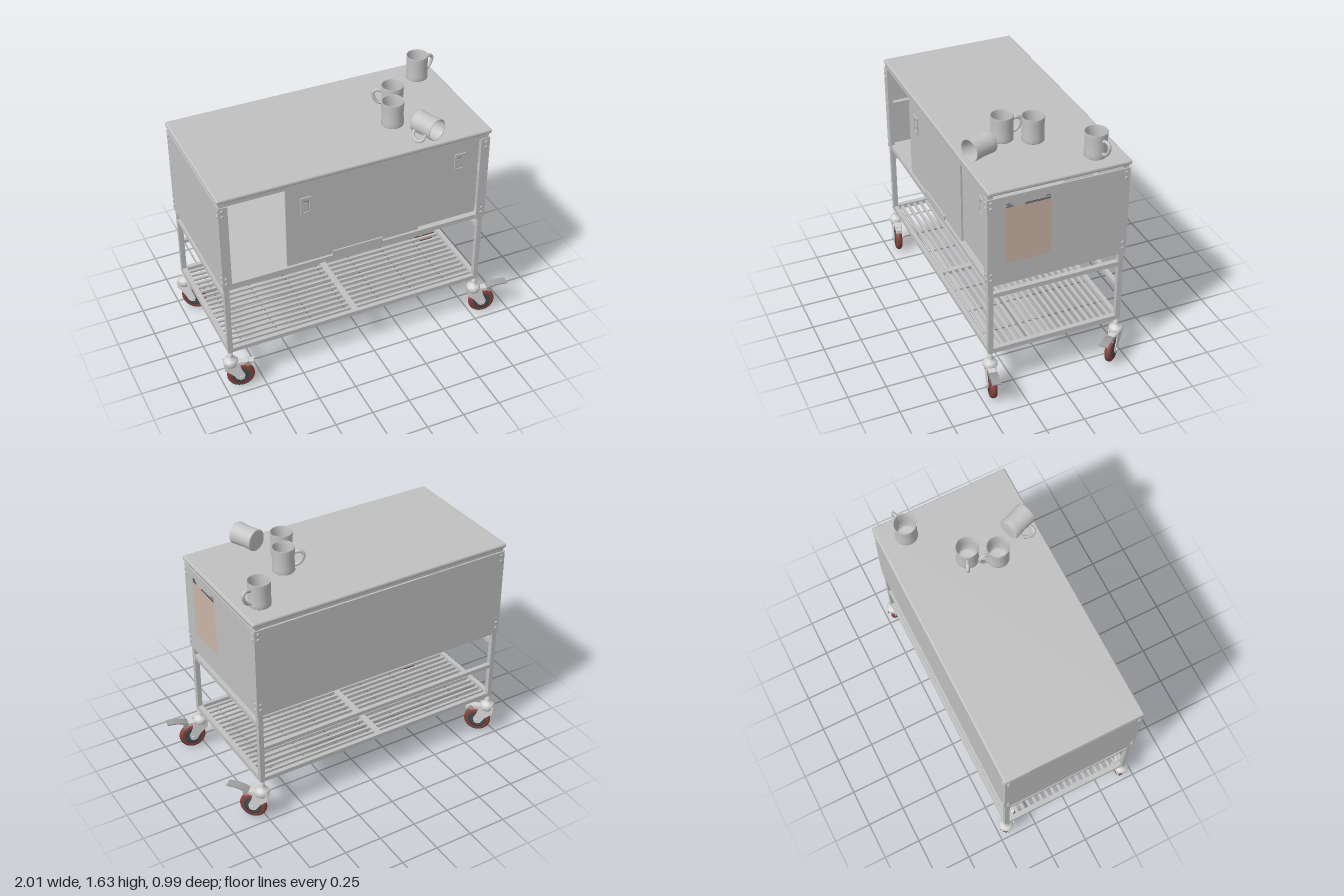
import * as THREE from 'three';
import { RoundedBoxGeometry } from 'three/addons/geometries/RoundedBoxGeometry.js';

const colour = (name, hex, side = THREE.FrontSide) => {
  const m = new THREE.MeshStandardMaterial({ color: hex, side });
  m.name = name;
  return m;
};

export function createModel() {
  const metal = colour('grey metal', 0xc0c0c0);
  const ceramic = colour('mug grey', 0xc4c4c4);
  const steel = colour('caster steel', 0xd4d4d4);
  const brake = colour('brake grey', 0xa0a0a0);
  const tread = colour('red tread', 0x84433d);
  const hub = colour('dark hub', 0x434b50);
  const peach = colour('peach label', 0xccb5a8);
  const ink = colour('dark ink', 0x4a5564);

  const root = new THREE.Group();
  root.name = 'workTable';

  const add = (parent, name, geometry, material, x = 0, y = 0, z = 0) => {
    const mesh = new THREE.Mesh(geometry, material);
    mesh.name = name;
    mesh.position.set(x, y, z);
    parent.add(mesh);
    return mesh;
  };
  // Box given by its limits on each axis
  const box = (name, x0, x1, y0, y1, z0, z1, material = metal, parent = root) =>
    add(parent, name, new THREE.BoxGeometry(x1 - x0, y1 - y0, z1 - z0), material,
      (x0 + x1) / 2, (y0 + y1) / 2, (z0 + z1) / 2);

  const legX = [-0.955, 0.77], legZ = [0.413, -0.449], half = 0.016;

  // Table top
  add(root, 'tableTop', new RoundedBoxGeometry(1.792, 0.03, 0.913, 3, 0.012), metal, -0.089, 1.448, -0.022);

  // Legs and side rails
  for (const x of legX) {
    for (const z of legZ) box('leg', x - half, x + half, 0.289, 1.434, z - half, z + half);
    for (const [y0, y1] of [[0.289, 0.322], [0.707, 0.737], [1.12, 1.147]])
      box('sideRail', x - half, x + half, y0, y1, legZ[1] + half, legZ[0] - half);
  }
  // Long rails
  for (const [y0, y1, z] of [[0.289, 0.318, legZ[0]], [0.289, 0.318, legZ[1]], [0.527, 0.553, legZ[1]],
    [1.12, 1.147, legZ[1]], [1.408, 1.434, legZ[0]], [1.41, 1.434, legZ[1]]])
    box('longRail', legX[0] + half, legX[1] - half, y0, y1, z - half * 0.9, z + half * 0.9);

  // Slatted lower shelf
  box('shelfCrossbar', -0.112, -0.073, 0.289, 0.314, legZ[1], legZ[0]);
  const slats = 18;
  for (let i = 1; i <= slats; i++) {
    const z = THREE.MathUtils.lerp(legZ[1], legZ[0], i / (slats + 1));
    box('shelfSlat', legX[0], legX[1], 0.297, 0.312, z - 0.009, z + 0.009);
  }

  // Cabinet shell
  box('leftPanel', 0.787, 0.795, 0.8, 1.408, -0.469, 0.434);
  box('rightPanel', -0.978, -0.97, 0.8, 1.408, -0.469, 0.434);
  box('backPanel', -0.978, 0.795, 0.8, 1.408, -0.473, -0.466);
  box('cabinetFloor', -0.97, 0.787, 0.802, 0.82, -0.466, 0.425);
  box('frontFlange', -0.978, -0.92, 0.8, 1.408, 0.43, 0.435);
  box('frontFlange', 0.735, 0.795, 0.8, 1.408, 0.43, 0.435);
  box('doorTrack', -0.92, 0.735, 0.8, 0.832, 0.36, 0.43);
  box('trackTab', -0.26, 0.078, 0.828, 0.862, 0.42, 0.43);
  box('frontDoor', -0.556, 0.332, 0.832, 1.41, 0.402, 0.414);
  box('rearDoor', 0.3, 0.745, 0.832, 1.41, 0.38, 0.392);

  // Recessed door pulls
  const pullGeometry = (() => {
    const rect = (P, w, h) => new P([[-w, -h], [w, -h], [w, h], [-w, h]].map(p => new THREE.Vector2(...p)));
    const shape = rect(THREE.Shape, 0.036, 0.062);
    shape.holes.push(rect(THREE.Path, 0.021, 0.043));
    return new THREE.ExtrudeGeometry(shape, { depth: 0.008, bevelEnabled: false });
  })();
  for (const [x, z] of [[-0.428, 0.414], [0.613, 0.392]]) {
    add(root, 'doorPull', pullGeometry, metal, x, 1.252, z);
    box('pullRecess', x - 0.021, x + 0.021, 1.209, 1.295, z, z + 0.002, brake);
    box('pullGrip', x - 0.014, x + 0.014, 1.215, 1.275, z + 0.002, z + 0.006);
  }

  // Corner bolts on every outer face
  const boltGeometry = new THREE.SphereGeometry(0.011, 12, 6, 0, Math.PI * 2, 0, Math.PI / 2);
  boltGeometry.scale(1, 0.6, 1);
  for (const y of [1.383, 1.345, 0.885, 0.845]) {
    for (const x of legX) {
      add(root, 'bolt', boltGeometry, metal, x, y, 0.435).rotation.x = Math.PI / 2;
      add(root, 'bolt', boltGeometry, metal, x, y, -0.473).rotation.x = -Math.PI / 2;
    }
    for (const z of legZ) {
      add(root, 'bolt', boltGeometry, metal, 0.795, y, z).rotation.z = -Math.PI / 2;
      add(root, 'bolt', boltGeometry, metal, -0.978, y, z).rotation.z = Math.PI / 2;
    }
  }

  // Rounded label with plain ink stripes on the left panel
  const w = 0.146, h = 0.193, r = 0.03;
  const label = new THREE.Shape();
  label.absarc(w - r, h - r, r, 0, Math.PI / 2);
  label.absarc(r - w, h - r, r, Math.PI / 2, Math.PI);
  label.absarc(r - w, r - h, r, Math.PI, Math.PI * 1.5);
  label.absarc(w - r, r - h, r, Math.PI * 1.5, Math.PI * 2);
  add(root, 'label', new THREE.ShapeGeometry(label), peach, 0.797, 1.141, 0.177).rotation.y = Math.PI / 2;
  for (const [z0, z1, y] of [[0.272, 0.318, 1.336], [0.28, 0.318, 1.346], [0.29, 0.318, 1.356],
    [0.04, 0.2, 1.332], [0.04, 0.2, 1.339], [0.04, 0.07, 1.355]])
    box('labelStripe', 0.795, 0.799, y - 0.0015, y + 0.0015, z0, z1, ink);

  // Casters: the wheel trails along local +x, axle along z
  const forkShape = new THREE.Shape([[-0.046, 0.21], [-0.042, 0.155], [0.005, 0.115], [0.035, 0.07], [0.055, 0.062],
    [0.078, 0.07], [0.085, 0.1], [0.062, 0.15], [0.048, 0.21]].map(p => new THREE.Vector2(...p)));
  const forkGeometry = new THREE.ExtrudeGeometry(forkShape, { depth: 0.006, bevelEnabled: false });
  const lathe = (points, segments = 32) =>
    new THREE.LatheGeometry(points.map(p => new THREE.Vector2(...p)), segments);
  const treadGeometry = lathe([[0.058, -0.021], [0.074, -0.022], [0.083, -0.016], [0.088, -0.006],
    [0.088, 0.006], [0.083, 0.016], [0.074, 0.022], [0.058, 0.021]]).rotateX(Math.PI / 2);
  const hubGeometry = lathe([[0, -0.026], [0.022, -0.026], [0.026, -0.016], [0.05, -0.016], [0.06, -0.021],
    [0.06, 0.021], [0.05, 0.016], [0.026, 0.016], [0.022, 0.026], [0, 0.026]]).rotateX(Math.PI / 2);
  const headGeometry = lathe([[0, 0.18], [0.04, 0.18], [0.046, 0.195], [0.046, 0.215], [0.038, 0.226],
    [0.026, 0.23], [0.024, 0.243], [0.015, 0.244], [0.015, 0.29], [0, 0.29]], 24);
  const pedalCurve = new THREE.Shape();
  pedalCurve.moveTo(0.09, 0.185);
  pedalCurve.quadraticCurveTo(0.14, 0.222, 0.225, 0.217);
  pedalCurve.lineTo(0.225, 0.225);
  pedalCurve.quadraticCurveTo(0.14, 0.232, 0.085, 0.2);
  const pedalGeometry = new THREE.ExtrudeGeometry(pedalCurve, { depth: 0.056, bevelEnabled: false });

  const caster = (x, z, yaw, raised) => {
    const g = new THREE.Group();
    g.name = 'caster';
    g.position.set(x, 0, z);
    g.rotation.y = yaw;
    root.add(g);
    add(g, 'swivelHead', headGeometry, steel);
    for (const s of [-1, 1]) add(g, 'forkPlate', forkGeometry, steel, 0, 0, s * 0.029 - 0.003);
    add(g, 'tread', treadGeometry, tread, 0.06, 0.088, 0);
    add(g, 'hub', hubGeometry, hub, 0.06, 0.088, 0);
    add(g, 'axle', new THREE.CylinderGeometry(0.011, 0.011, 0.08, 12), steel, 0.06, 0.088, 0).rotation.x = Math.PI / 2;
    box('brakeArm', 0.03, 0.11, 0.178, 0.2, -0.022, 0.022, steel, g);
    add(g, 'brakePivot', new THREE.CylinderGeometry(0.016, 0.016, 0.05, 12), brake, 0.105, 0.182, 0).rotation.x = Math.PI / 2;
    if (raised) add(g, 'brakePedal', pedalGeometry, brake, 0, 0, -0.028);
    else box('brakePedal', 0.1, 0.145, 0.172, 0.196, -0.02, 0.02, steel, g);
  };
  caster(legX[1], legZ[0], -0.22, true);
  caster(legX[0], legZ[0], -0.2, false);
  caster(legX[1], legZ[1], -0.82, true);
  caster(legX[0], legZ[1], -0.78, false);

  // Mugs with slightly pinched walls; the handle points along local +x
  const mugGeometry = lathe([[0, 0], [0.064, 0], [0.07, 0.006], [0.069, 0.035], [0.067, 0.08], [0.069, 0.13],
    [0.071, 0.162], [0.069, 0.165], [0.066, 0.162], [0.063, 0.13], [0.061, 0.08], [0.063, 0.02], [0.05, 0.012], [0, 0.012]], 40);
  const handleGeometry = new THREE.TubeGeometry(new THREE.CatmullRomCurve3(
    [[0.064, 0.12], [0.1, 0.128], [0.122, 0.108], [0.114, 0.07], [0.092, 0.044], [0.064, 0.034]]
      .map(([x, y]) => new THREE.Vector3(x, y, 0))), 24, 0.011, 10);
  const mug = (x, y, z) => {
    const g = new THREE.Group();
    g.name = 'mug';
    g.position.set(x, y, z);
    add(g, 'mugBody', mugGeometry, ceramic);
    add(g, 'mugHandle', handleGeometry, ceramic);
    root.add(g);
    return g;
  };
  for (const [x, z, yaw] of [[0.666, -0.305, 0.22], [0.36, -0.043, 2.71], [0.28, 0.123, 1.6]])
    mug(x, 1.463, z).rotation.y = yaw;

  // Mug lying on its side, opening to the front
  const axis = new THREE.Vector3(0.35, 0, 0.94).normalize();
  const out = new THREE.Vector3(-0.84, -0.45, 0.313).normalize();
  mug(0.385, 1.534, 0.245).quaternion.setFromRotationMatrix(
    new THREE.Matrix4().makeBasis(out, axis, out.clone().cross(axis)));

  return root;
}
